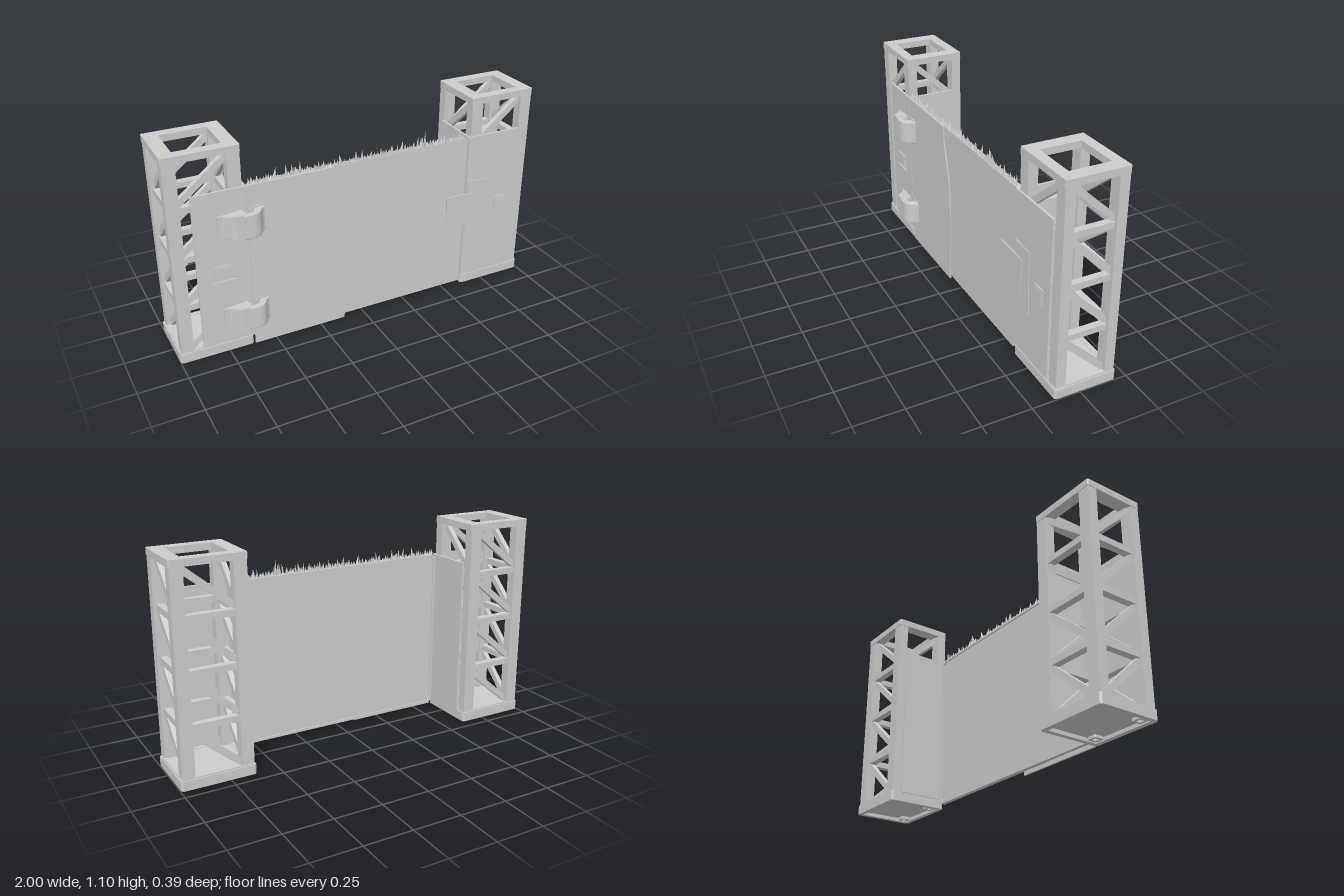
import * as THREE from 'three';

const mat = new THREE.MeshStandardMaterial({ color: 0xcccccc, flatShading: true, side: THREE.DoubleSide });
const smooth = new THREE.MeshStandardMaterial({ color: 0xcccccc, side: THREE.DoubleSide });

function add(parent, name, geo, x = 0, y = 0, z = 0, m = mat) {
  const mesh = new THREE.Mesh(geo, m);
  mesh.name = name;
  mesh.position.set(x, y, z);
  parent.add(mesh);
  return mesh;
}

// box given by its min/max corners
function box(parent, name, x0, x1, y0, y1, z0, z1) {
  return add(parent, name, new THREE.BoxGeometry(x1 - x0, y1 - y0, z1 - z0),
    (x0 + x1) / 2, (y0 + y1) / 2, (z0 + z1) / 2);
}

const poly = pts => new THREE.Shape(pts.map(p => new THREE.Vector2(p[0], p[1])));
const extrude = (shape, depth) => new THREE.ExtrudeGeometry(shape, { depth, bevelEnabled: false, curveSegments: 6 });

// rectangle with cut corners
const cutRect = (x0, x1, y0, y1, c) => poly([
  [x0 + c, y0], [x1 - c, y0], [x1, y0 + c], [x1, y1 - c],
  [x1 - c, y1], [x0 + c, y1], [x0, y1 - c], [x0, y0 + c]]);

// rectangular ring lying flat, from y up to y + h
function flatRing(parent, name, hx, hz, ix, iz, y, h, c = 0.004) {
  const s = cutRect(-hx, hx, -hz, hz, c);
  s.holes.push(cutRect(-ix, ix, -iz, iz, 0.001));
  add(parent, name, extrude(s, h).rotateX(-Math.PI / 2), 0, y, 0);
}

// square bar between two points, kept upright to its face
function brace(parent, name, a, b, w, t) {
  const A = new THREE.Vector3(...a), B = new THREE.Vector3(...b);
  const d = B.clone().sub(A);
  const alongX = Math.abs(d.x) > Math.abs(d.z);
  const g = alongX ? new THREE.BoxGeometry(d.length(), w, t) : new THREE.BoxGeometry(t, w, d.length());
  const m = add(parent, name, g);
  m.position.copy(A).add(B).multiplyScalar(0.5);
  if (alongX) m.rotation.z = Math.atan2(d.y, d.x);
  else m.rotation.x = -Math.atan2(d.y, d.z);
}

function lattice(name) {
  const g = new THREE.Group();
  g.name = name;
  // base tray: rim, floor and two feet sockets
  flatRing(g, 'baseRim', 0.19, 0.163, 0.165, 0.138, 0, 0.05, 0.01);
  flatRing(g, 'baseRimTop', 0.184, 0.157, 0.16, 0.135, 0.05, 0.007, 0.01);
  box(g, 'baseFloor', -0.17, 0.17, 0.018, 0.054, -0.143, 0.143);
  for (const sx of [-1, 1]) {
    const socket = new THREE.Group();
    socket.name = 'footSocket';
    socket.position.set(sx * 0.135, 0, 0.108);
    flatRing(socket, 'footRing', 0.025, 0.025, 0.013, 0.013, 0.004, 0.016);
    g.add(socket);
  }
  // corner posts and top frame
  for (const sx of [-1, 1]) for (const sz of [-1, 1])
    box(g, 'post', sx * 0.149 - 0.032, sx * 0.149 + 0.032, 0.05, 1.065, sz * 0.13 - 0.025, sz * 0.13 + 0.025);
  flatRing(g, 'topFrame', 0.184, 0.158, 0.115, 0.104, 1.06, 0.035);
  // horizontal rails
  for (const y of [0.3, 0.562, 0.82]) for (const s of [-1, 1]) {
    box(g, 'rail', -0.12, 0.12, y - 0.016, y + 0.016, s * 0.13 - 0.018, s * 0.13 + 0.018);
    box(g, 'sideRail', s * 0.149 - 0.018, s * 0.149 + 0.018, y - 0.016, y + 0.016, -0.11, 0.11);
  }
  // diagonals of each bay
  for (const [lo, hi] of [[0.055, 0.285], [0.316, 0.546], [0.578, 0.804], [0.836, 1.06]])
    for (const s of [-1, 1]) {
      brace(g, 'diagonal', [-0.122, lo + 0.012, s * 0.128], [0.122, hi - 0.012, s * 0.128], 0.032, 0.026);
      brace(g, 'sideDiagonal', [s * 0.147, lo + 0.012, -0.108], [s * 0.147, hi - 0.012, 0.108], 0.032, 0.026);
    }
  return g;
}

// hinge: wedge bracket on the tower, curled leaf and pad on the gate
function hinge(y) {
  const g = new THREE.Group();
  g.name = 'hinge';
  g.position.y = y;
  const wedge = poly([[-0.75, 0.13], [-0.64, 0.13], [-0.645, 0.196], [-0.69, 0.196], [-0.725, 0.16]]);
  const w = extrude(wedge, 0.13);
  const p = w.attributes.position;
  // narrow the wedge toward its outer end
  for (let i = 0; i < p.count; i++) {
    const k = p.getX(i) < -0.7 ? 0.85 : 1;
    p.setZ(i, (p.getZ(i) - 0.065) * k);
  }
  w.rotateX(Math.PI / 2);
  w.computeVertexNormals();
  add(g, 'hingeBracket', w);
  box(g, 'hingeFoot', -0.765, -0.65, -0.055, 0.055, 0.13, 0.142);
  // curled leaf
  const s = new THREE.Shape();
  s.moveTo(-0.65, 0.15);
  s.lineTo(-0.65, 0.197);
  s.lineTo(-0.61, 0.197);
  s.quadraticCurveTo(-0.575, 0.197, -0.56, 0.17);
  s.quadraticCurveTo(-0.552, 0.15, -0.535, 0.142);
  s.lineTo(-0.535, 0.132);
  s.lineTo(-0.575, 0.134);
  s.quadraticCurveTo(-0.59, 0.175, -0.61, 0.175);
  s.lineTo(-0.635, 0.175);
  s.lineTo(-0.635, 0.15);
  const leaf = new THREE.ExtrudeGeometry(s, { depth: 0.11, bevelEnabled: true, bevelSize: 0.003, bevelThickness: 0.008, bevelSegments: 3, curveSegments: 8 });
  add(g, 'hingeLeaf', leaf.rotateX(Math.PI / 2), 0, 0.055, 0, smooth);
  add(g, 'hingePad', extrude(cutRect(-0.605, -0.537, -0.073, 0.073, 0.016), 0.007), 0, 0, 0.133);
  return g;
}

// small raised frame with a button
function button(parent, x0, x1, y0, y1) {
  box(parent, 'buttonFrame', x0, x1, y0, y1, 0.13, 0.139);
  box(parent, 'button', x0 + 0.008, x1 - 0.008, y0 + 0.008, y1 - 0.008, 0.135, 0.142);
}

export function createModel() {
  const model = new THREE.Group();
  model.name = 'gate';

  // towers
  for (const [name, x] of [['rightTower', -0.81], ['leftTower', 0.806]]) {
    const t = lattice(name);
    t.position.set(x, 0, -0.031);
    model.add(t);
  }

  // tower cladding
  const clad = new THREE.Group();
  clad.name = 'cladding';
  model.add(clad);
  box(clad, 'frontPlate', -0.88, -0.619, 0.058, 0.887, 0.122, 0.133);
  box(clad, 'frontPlate', 0.613, 0.917, 0.058, 0.887, 0.122, 0.133);
  for (const s of [-1, 1])
    box(clad, 'innerPlate', s * 0.617 - 0.006, s * 0.617 + 0.006, 0.05, 0.887, -0.14, 0.128);
  for (const y of [0.3, 0.55, 0.81]) box(clad, 'plateClip', 0.912, 0.92, y - 0.03, y + 0.03, 0.115, 0.134);
  button(clad, -0.8, -0.706, 0.427, 0.498);
  box(clad, 'buttonLedge', -0.812, -0.688, 0.405, 0.412, 0.13, 0.14);
  button(clad, 0.797, 0.863, 0.413, 0.507);

  // gate leaf: core, back rim, two overlapping front sheets
  const leaf = new THREE.Group();
  leaf.name = 'gateLeaf';
  model.add(leaf);
  add(leaf, 'core', extrude(cutRect(-0.606, 0.602, 0.02, 0.885, 0.015), 0.017), 0, 0, 0.105);
  const rim = cutRect(-0.608, 0.604, 0.018, 0.887, 0.017);
  rim.holes.push(cutRect(-0.595, 0.591, 0.031, 0.874, 0.014));
  add(leaf, 'backRim', extrude(rim, 0.018), 0, 0, 0.098);
  add(leaf, 'rearSheet', extrude(cutRect(-0.3, 0.604, 0.02, 0.887, 0.008), 0.006), 0, 0, 0.121);
  add(leaf, 'frontSheet', extrude(poly([
    [-0.612, 0], [-0.112, 0], [-0.105, 0.22], [-0.095, 0.42], [-0.105, 0.6],
    [-0.14, 0.73], [-0.16, 0.8], [-0.165, 0.887], [-0.605, 0.887], [-0.612, 0.87]]), 0.009), 0, 0, 0.125);

  // jagged spikes along the top edge
  const spikes = new THREE.Group();
  spikes.name = 'spikes';
  model.add(spikes);
  let seed = 7;
  const rnd = () => (seed = (seed * 16807) % 2147483647) / 2147483647;
  const count = 115;
  for (let i = 0; i < count; i++) {
    const x = -0.592 + 1.18 * (i + 0.6 * rnd()) / count;
    const peak = 0.045 * Math.exp(-(((x - 0.33) / 0.03) ** 2));
    const h = 0.022 + 0.045 * rnd() * rnd() + peak * (0.4 + 0.6 * rnd());
    const c = new THREE.ConeGeometry(0.008 + 0.005 * rnd(), h, 4);
    c.translate(0, h / 2, 0);
    const m = add(spikes, 'spike', c, x, 0.883, 0.108 + 0.014 * rnd());
    m.scale.z = 0.7;
    m.rotation.set(0, rnd() * 1.5, (rnd() - 0.5) * 0.5);
  }

  // hinges and latch
  for (const y of [0.706, 0.198]) model.add(hinge(y));
  const latch = new THREE.Group();
  latch.name = 'latch';
  model.add(latch);
  add(latch, 'latchBacking', extrude(poly([
    [0.62, 0.318], [0.75, 0.31], [0.738, 0.47], [0.745, 0.632], [0.62, 0.637]]), 0.008), 0, 0, 0.13);
  add(latch, 'latchPlate', extrude(poly([
    [0.485, 0.383], [0.678, 0.378], [0.68, 0.565], [0.486, 0.571], [0.492, 0.48]]), 0.006), 0, 0, 0.136);
  return model;
}
